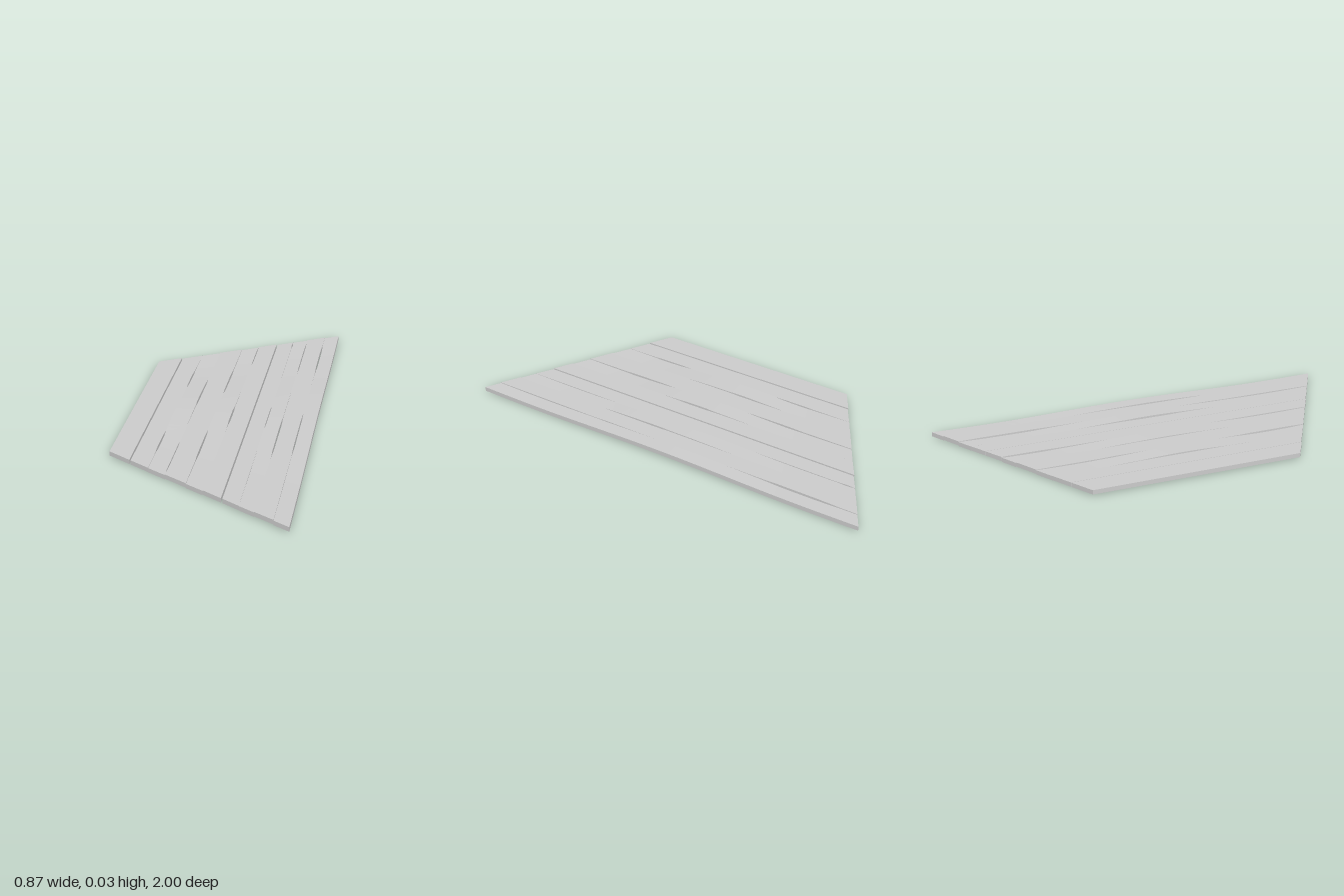
import * as THREE from 'three';

// Seams between planks: x position and the z ranges where the gap opens
const SEAMS = [
  { x: -0.433, gaps: [] },
  { x: -0.325, gaps: [[-2, 2]] },
  { x: -0.232, gaps: [[-0.42, -0.22], [0.26, 0.46]] },
  { x: -0.147, gaps: [[-0.35, -0.02], [0.33, 0.66]] },
  { x: -0.043, gaps: [[-0.46, -0.17], [0.22, 0.51]] },
  { x: 0.037, gaps: [[-0.78, -0.52], [-0.04, 0.16]] },
  { x: 0.128, gaps: [[-2, 2]] },
  { x: 0.207, gaps: [[-0.87, -0.8], [-0.08, 0.16]] },
  { x: 0.277, gaps: [[-0.88, -0.47], [0.04, 0.44]] },
  { x: 0.364, gaps: [[-0.85, -0.51], [-0.04, 0.4]] },
  { x: 0.433, gaps: [] },
];
// Bottom height at the ends, and whether the board is warped
const PLANKS = [
  [0.007, 0], [0.005, 0], [0.004, 1], [0.007, 0], [0.004, 1],
  [0.007, 0], [0.005, 0], [0.004, 1], [0.007, 0], [0.004, 1],
];
const THICKNESS = 0.021;
const STEPS = 40;

// Half length of the trapezoid at x
const halfLength = (x) => 0.75 + x * 0.5774;

// Sideways inset of a plank edge where a gap opens
function inset(seam, z) {
  for (const [a, b] of seam.gaps) {
    if (z > a && z < b) return 0.003 * Math.min(1, 2 * Math.sin((Math.PI * (z - a)) / (b - a)));
  }
  return 0;
}

// Warp along the board: high in the middle, a slight dip before each end
function warp(t) {
  const u = Math.abs(t);
  return u < 0.7
    ? 0.0025 + 0.0055 * Math.cos((Math.PI * u) / 0.7)
    : -0.003 * Math.cos((Math.PI * (u - 0.7)) / 0.6);
}

function plankGeometry(left, right, base, warped) {
  const sections = [];
  for (let i = 0; i <= STEPS; i++) {
    const t = -1 + (2 * i) / STEPS;
    const y = base + (warped ? warp(t) : 0);
    const corner = (seam, sign, height) => {
      const z = t * halfLength(seam.x);
      return [seam.x + sign * inset(seam, z), height, z];
    };
    sections.push([
      corner(left, 1, y), corner(right, -1, y),
      corner(right, -1, y + THICKNESS), corner(left, 1, y + THICKNESS),
    ]);
  }
  const positions = [];
  const quad = (a, b, c, d) => positions.push(...a, ...b, ...c, ...a, ...c, ...d);
  for (let i = 0; i < STEPS; i++) {
    const p = sections[i], q = sections[i + 1];
    for (let k = 0; k < 4; k++) {
      const n = (k + 1) % 4;
      quad(p[k], p[n], q[n], q[k]);
    }
  }
  // End faces
  const [a, b, c, d] = sections[0];
  quad(d, c, b, a);
  quad(...sections[STEPS]);
  const geometry = new THREE.BufferGeometry();
  geometry.setAttribute('position', new THREE.Float32BufferAttribute(positions, 3));
  geometry.computeVertexNormals();
  return geometry;
}

export function createModel() {
  const group = new THREE.Group();
  group.name = 'plankPlatform';
  const material = new THREE.MeshStandardMaterial({ color: 0xcccccc, flatShading: true });
  PLANKS.forEach(([base, warped], i) => {
    const plank = new THREE.Mesh(plankGeometry(SEAMS[i], SEAMS[i + 1], base, warped), material);
    plank.name = `plank${i + 1}`;
    plank.position.y = -0.001;
    group.add(plank);
  });
  return group;
}
